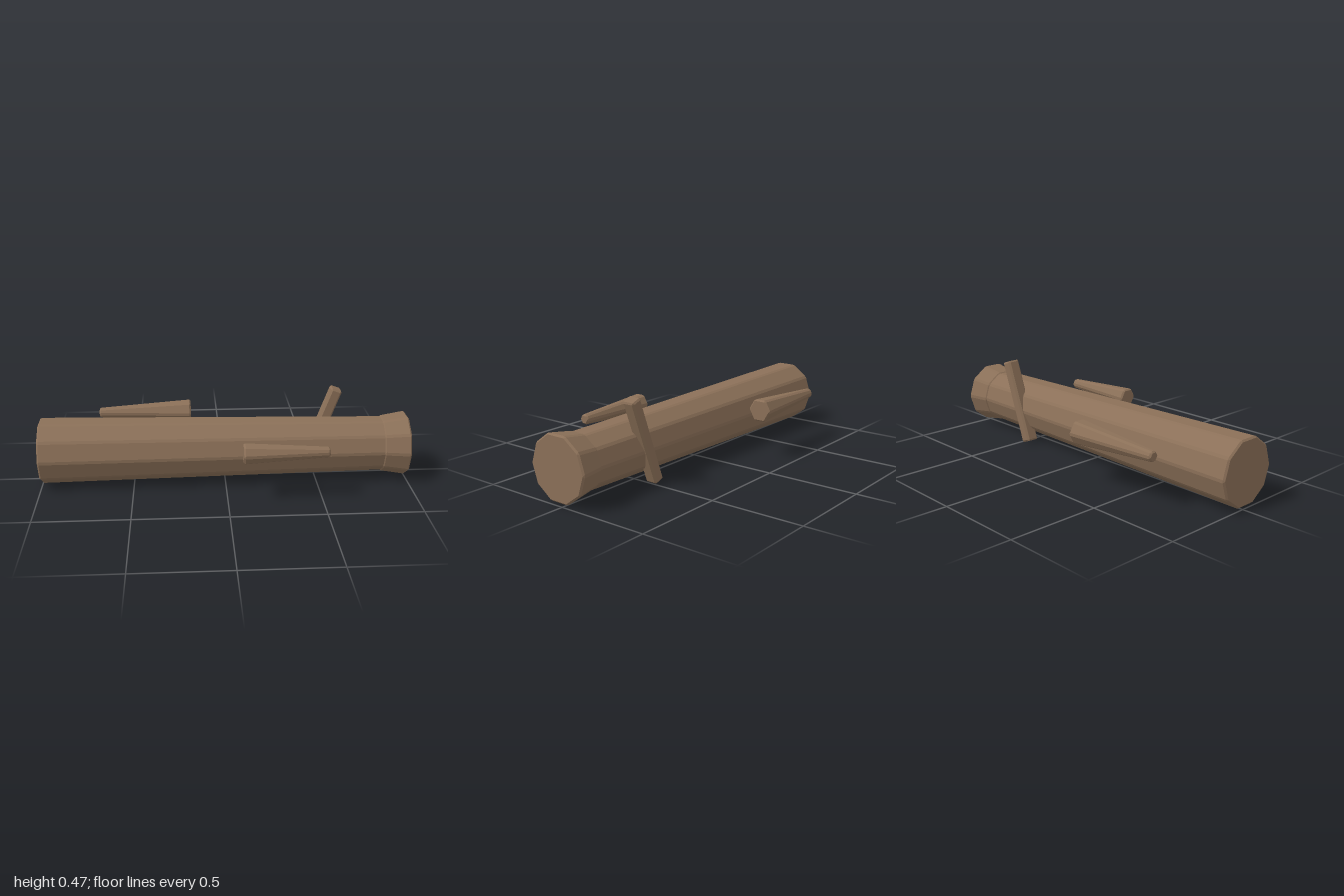
import * as THREE from 'three';

const wood = new THREE.MeshStandardMaterial({ color: 0x8b7058, flatShading: true });
const EDGE = 0.0085; // half width of the chamfer on every long edge
const CUT = 0.009; // depth of the chamfer round each end

// Chamfered prism along x with n sides, from radius r0 at x0 to radius r1 at x1.
function bevelledPrism(n, x0, r0, x1, r1, phase = 0) {
  const ring = (x, radius, chamfer) => {
    const half = Math.PI / n;
    const d = chamfer && radius ? EDGE / radius : 0;
    const r = radius * Math.cos(half) / Math.cos(half - d);
    // without a chamfer, each pair of points falls on one sharp corner
    const sharp = chamfer ? r : radius;
    const points = [];
    for (let i = 0; i < n; i++) {
      for (const s of [-1, 1]) {
        const a = phase + i * 2 * half + s * d;
        points.push(new THREE.Vector3(x, sharp * Math.sin(a), sharp * Math.cos(a)));
      }
    }
    return points;
  };
  const rings = [
    ring(x0, 0, false),
    ring(x0, r0 - CUT, false),
    ring(x0 + CUT, r0, true),
    ring(x1 - CUT, r1, true),
    ring(x1, r1 - CUT, false),
    ring(x1, 0, false),
  ];
  const positions = [];
  const triangle = (a, b, c) => {
    if (new THREE.Triangle(a, b, c).getArea() < 1e-9) return;
    for (const p of [a, b, c]) positions.push(p.x, p.y, p.z);
  };
  for (let i = 0; i < rings.length - 1; i++) {
    for (let j = 0; j < 2 * n; j++) {
      const k = (j + 1) % (2 * n);
      triangle(rings[i][j], rings[i + 1][j], rings[i + 1][k]);
      triangle(rings[i][j], rings[i + 1][k], rings[i][k]);
    }
  }
  const geometry = new THREE.BufferGeometry();
  geometry.setAttribute('position', new THREE.Float32BufferAttribute(positions, 3));
  geometry.computeVertexNormals();
  return geometry;
}

export function createModel() {
  const group = new THREE.Group();
  const add = (name, geometry, x, y, z) => {
    const mesh = new THREE.Mesh(geometry, wood);
    mesh.name = name;
    mesh.position.set(x, y, z);
    group.add(mesh);
    return mesh;
  };

  // Ten-sided trunk, tapering towards a flared collar
  add('trunk', bevelledPrism(10, -1, 0.18, 0.9, 0.15), 0, 0.183, 0.024);
  add('collar', bevelledPrism(10, 0.857, 0.156, 1, 0.177), 0, 0.183, 0.024);

  // Six-sided tapering stubs floating on either side of the trunk
  add('frontStub', bevelledPrism(6, 0.08, 0.058, 0.53, 0.031), 0, 0.268, 0.318);
  add('backStub', bevelledPrism(6, -0.705, 0.031, -0.18, 0.069), 0, 0.268, -0.308);

  // Square branch leaning across the back of the trunk
  const branch = add('branch', bevelledPrism(4, -0.24, 0.0477, 0.24, 0.0477, Math.PI / 4), 0.545, 0.236, -0.1085);
  branch.scale.set(1, 0.92, 1.08);
  branch.rotation.z = THREE.MathUtils.degToRad(70);

  return group;
}
